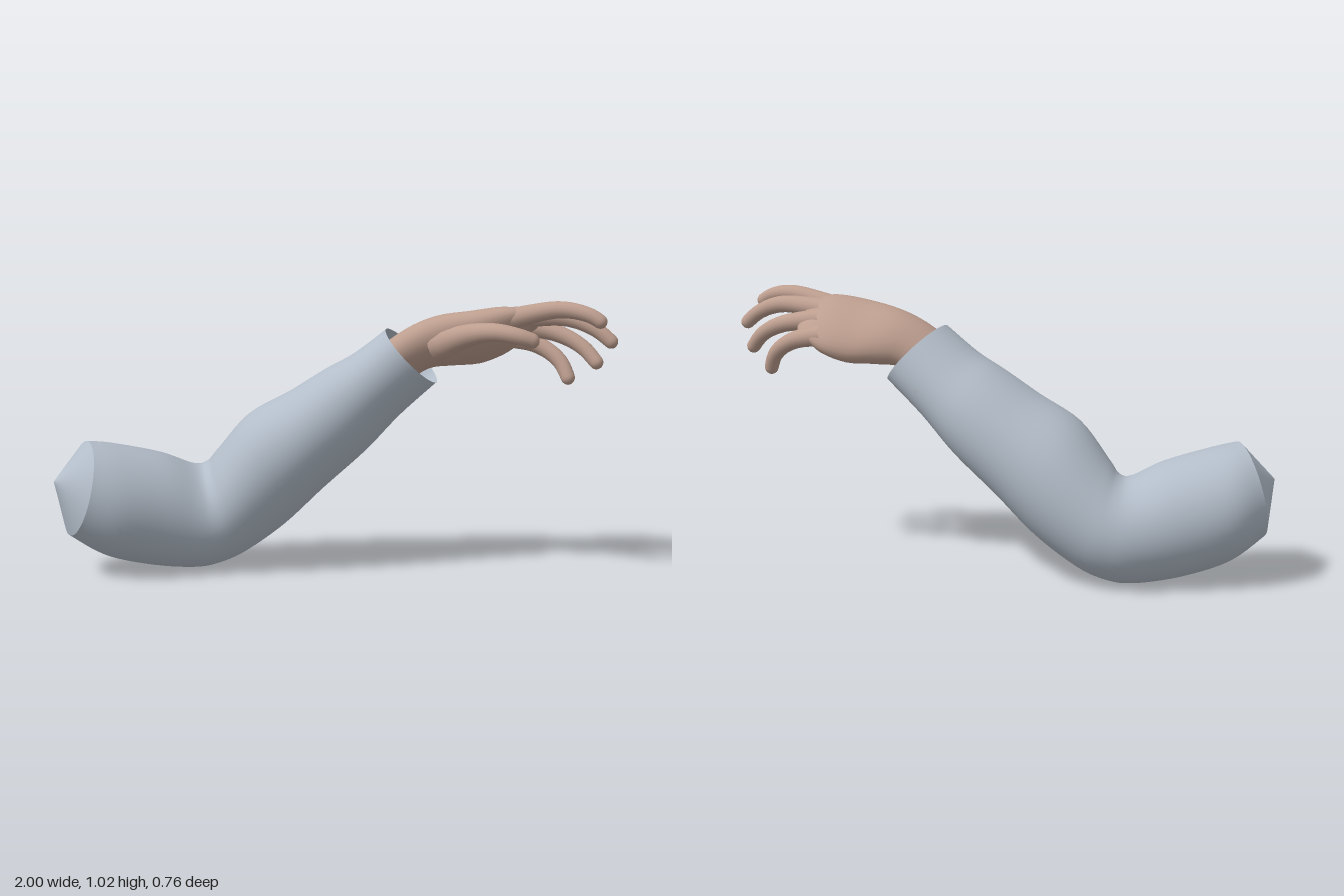
import * as THREE from 'three';

const V = (p) => new THREE.Vector3(...p);

// Skin a list of rings {c, a, b}: centre plus two half-axis vectors of an ellipse
function loft(rings, seg) {
  const pos = [], idx = [];
  rings.forEach(({ c, a, b }, i) => {
    for (let j = 0; j < seg; j++) {
      const t = (j / seg) * Math.PI * 2;
      const p = c.clone().addScaledVector(a, Math.cos(t)).addScaledVector(b, Math.sin(t));
      pos.push(p.x, p.y, p.z);
      if (i === rings.length - 1) continue;
      const k = (j + 1) % seg, o = i * seg, n = o + seg;
      idx.push(o + j, o + k, n + k, o + j, n + k, n + j);
    }
  });
  const g = new THREE.BufferGeometry();
  g.setAttribute('position', new THREE.Float32BufferAttribute(pos, 3));
  g.setIndex(idx);
  g.computeVertexNormals();
  return g;
}

// Insert smooth in-between rings
function smooth(rings, steps) {
  const out = [];
  const at = (i) => rings[Math.max(0, Math.min(rings.length - 1, i))];
  const cr = (p0, p1, p2, p3, t) => {
    const f = (k) => {
      const v0 = (p2[k] - p0[k]) / 2, v1 = (p3[k] - p1[k]) / 2, d = p1[k] - p2[k];
      return (2 * d + v0 + v1) * t ** 3 + (-3 * d - 2 * v0 - v1) * t * t + v0 * t + p1[k];
    };
    return new THREE.Vector3(f('x'), f('y'), f('z'));
  };
  for (let i = 0; i < rings.length - 1; i++) {
    for (let s = 0; s < steps; s++) {
      const r = {};
      for (const k of ['c', 'a', 'b']) r[k] = cr(at(i - 1)[k], at(i)[k], at(i + 1)[k], at(i + 2)[k], s / steps);
      out.push(r);
    }
  }
  out.push(rings[rings.length - 1]);
  return out;
}

// Tapered finger with a rounded tip; radii follow the path points
function finger(points, radii) {
  const curve = new THREE.CatmullRomCurve3(points.map(V));
  const n = 24, len = curve.getLength();
  const frames = curve.computeFrenetFrames(n, false);
  const rings = [];
  for (let i = 0; i <= n; i++) {
    const s = i / n, u = 1 - (1 - s) ** 2;
    const f = u * (radii.length - 1), m = Math.min(radii.length - 2, Math.floor(f));
    let r = THREE.MathUtils.lerp(radii[m], radii[m + 1], f - m);
    const left = (1 - u) * len;
    if (left < r) r *= Math.sqrt(1 - (1 - left / r) ** 2);
    const k = Math.min(n, Math.round(u * n));
    const T = curve.getTangentAt(u);
    const a = frames.normals[k].clone().addScaledVector(T, -frames.normals[k].dot(T)).normalize();
    const b = T.clone().cross(a);
    rings.push({ c: curve.getPointAt(u), a: a.multiplyScalar(r), b: b.multiplyScalar(r) });
  }
  return loft(rings, 16);
}

export function createModel() {
  const model = new THREE.Group();
  const cloth = new THREE.MeshStandardMaterial({ color: 0xb3bdc9, side: THREE.DoubleSide });
  cloth.name = 'blue grey cloth';
  const skin = new THREE.MeshStandardMaterial({ color: 0xbd9e8f });
  skin.name = 'skin';
  const add = (name, geo, mat, parent = model) => {
    const m = new THREE.Mesh(geo, mat);
    m.name = name;
    parent.add(m);
    return m;
  };

  // Sleeve rings: top x,y, bottom x,y, back z, front z, sideways lean
  const sleeveRings = [
    [-0.87, 0.5, -0.95, 0.155, -0.26, 0.08, 0.2],
    [-0.78, 0.485, -0.82, 0.07, -0.33, 0.09, 0.18],
    [-0.6, 0.44, -0.65, 0.02, -0.365, 0.06, 0.12],
    [-0.48, 0.39, -0.48, 0.0, -0.38, 0.035, 0],
    [-0.43, 0.395, -0.38, 0.015, -0.378, 0.032, -0.08],
    [-0.39, 0.445, -0.28, 0.06, -0.365, 0.05, -0.15],
    [-0.28, 0.58, -0.14, 0.165, -0.33, 0.09, -0.25],
    [-0.13, 0.67, 0.0, 0.305, -0.275, 0.12, -0.3],
    [0.0, 0.755, 0.15, 0.445, -0.22, 0.135, -0.33],
    [0.1, 0.815, 0.27, 0.58, -0.16, 0.145, -0.36],
    [0.21, 0.905, 0.4, 0.705, -0.1, 0.162, -0.38],
  ].map(([tx, ty, bx, by, z0, z1, lean]) => {
    const h = (z1 - z0) / 2;
    return {
      c: V([(tx + bx) / 2, (ty + by) / 2, (z0 + z1) / 2]),
      a: V([(tx - bx) / 2, (ty - by) / 2, 0]),
      b: V([lean * h, 0, h]),
    };
  });
  add('sleeve', loft(smooth(sleeveRings, 5), 48), cloth);

  // Blunt cone closing the shoulder end
  const end = sleeveRings[0];
  const tip = { c: V([-1, 0.36, -0.07]), a: V([0, 0, 0]), b: V([0, 0, 0]) };
  add('shoulderCap', loft([tip, end], 48), cloth);

  // Cuff button
  const button = add('cuffButton', new THREE.SphereGeometry(0.019, 16, 12), skin);
  button.scale.z = 0.7;
  button.position.set(0.29, 0.69, -0.122);

  // Wrist and palm: centre, thickness axis, width axis
  const hand = new THREE.Group();
  hand.name = 'hand';
  model.add(hand);
  const palm = [
    [[0.08, 0.64, -0.02], [0, 0, 0], [0, 0, 0]],
    [[0.1, 0.655, -0.015], [-0.05, 0.06, 0], [-0.02, 0, 0.08]],
    [[0.22, 0.755, 0.015], [-0.05, 0.065, 0], [-0.03, 0.02, 0.088]],
    [[0.32, 0.83, 0.045], [-0.04, 0.068, -0.015], [-0.03, 0.035, 0.092]],
    [[0.42, 0.86, 0.06], [-0.03, 0.075, -0.03], [-0.03, 0.06, 0.105]],
    [[0.53, 0.875, 0.09], [-0.02, 0.07, -0.035], [-0.03, 0.078, 0.13]],
    [[0.63, 0.9, 0.105], [-0.02, 0.055, -0.03], [-0.02, 0.078, 0.132]],
    [[0.69, 0.92, 0.12], [-0.015, 0.035, -0.02], [-0.02, 0.06, 0.112]],
    [[0.735, 0.925, 0.135], [-0.01, 0.018, -0.01], [-0.015, 0.042, 0.075]],
    [[0.745, 0.925, 0.14], [0, 0, 0], [0, 0, 0]],
  ].map(([c, a, b]) => ({ c: V(c), a: V(a), b: V(b) }));
  add('palm', loft(smooth(palm, 4), 32), skin, hand);

  // Fingers, each curving down to its tip
  const taper = [0.04, 0.033, 0.029, 0.025];
  const digits = {
    indexFinger: [[0.62, 0.95, 0.195], [0.79, 0.99, 0.275], [0.88, 0.975, 0.33], [0.935, 0.94, 0.36]],
    middleFinger: [[0.66, 0.95, 0.14], [0.83, 0.955, 0.225], [0.92, 0.92, 0.275], [0.99, 0.86, 0.315]],
    ringFinger: [[0.66, 0.92, 0.08], [0.82, 0.89, 0.15], [0.9, 0.845, 0.2], [0.955, 0.775, 0.25]],
    littleFinger: [[0.65, 0.87, 0.02], [0.77, 0.84, 0.07], [0.84, 0.785, 0.12], [0.87, 0.705, 0.165]],
  };
  for (const [name, pts] of Object.entries(digits)) add(name, finger(pts, taper), skin, hand);
  add('thumb', finger(
    [[0.38, 0.85, 0.11], [0.47, 0.895, 0.2], [0.55, 0.915, 0.29], [0.62, 0.905, 0.335], [0.695, 0.88, 0.345]],
    [0.06, 0.045, 0.035, 0.031, 0.027]), skin, hand);

  return model;
}
